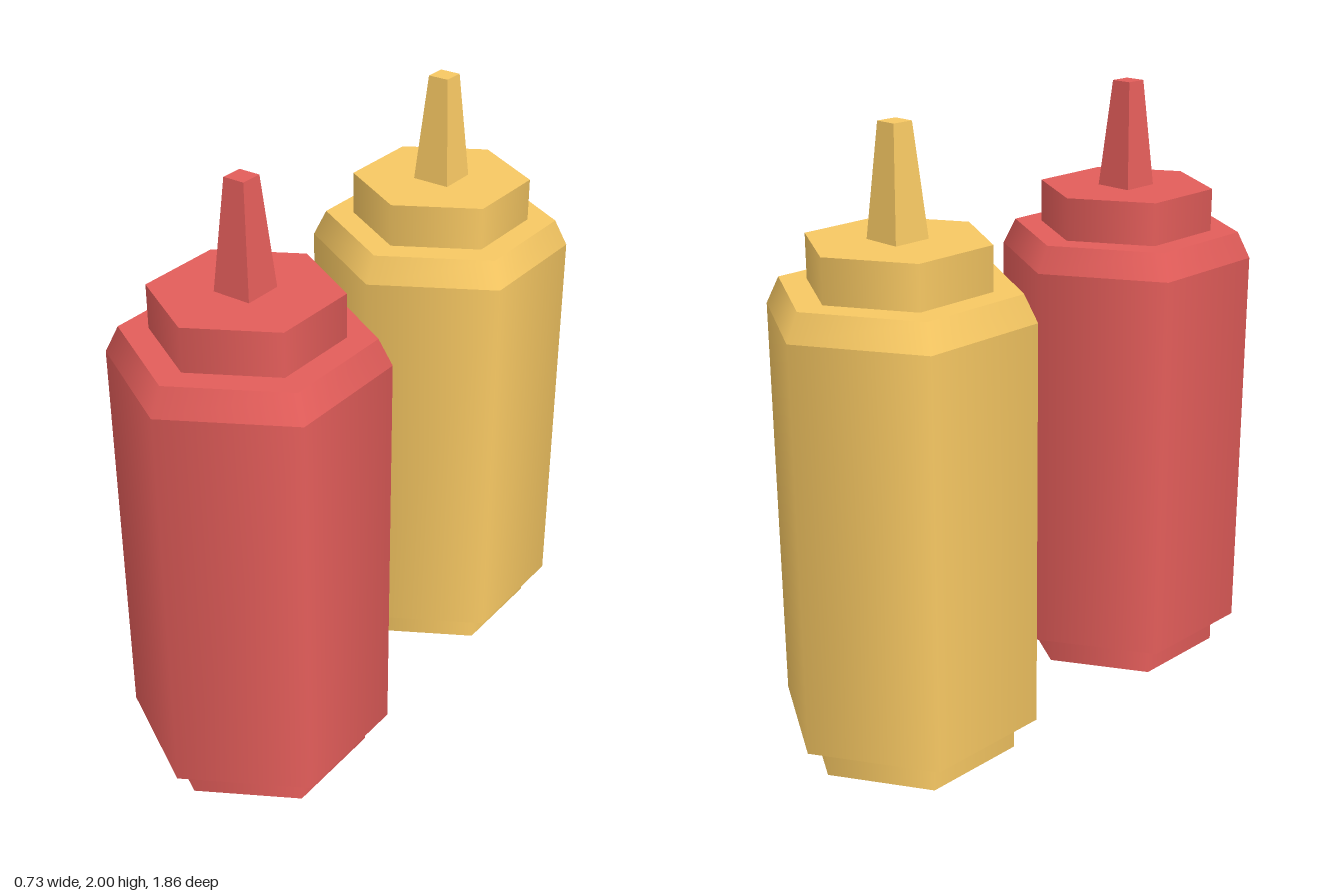
import * as THREE from 'three';

// Hexagonal section with a corner facing +z, smooth around and sharp at its rims
function hexSection(name, rBottom, rTop, y0, y1, material, openEnded = false) {
  const geometry = new THREE.CylinderGeometry(rTop, rBottom, y1 - y0, 6, 1, openEnded);
  geometry.translate(0, (y0 + y1) / 2, 0);
  const mesh = new THREE.Mesh(geometry, material);
  mesh.name = name;
  return mesh;
}

// Square tapered spout with flat sides
function makeNozzle(halfBottom, halfTop, y0, y1, material) {
  const geometry = new THREE.BoxGeometry(1, y1 - y0, 1);
  geometry.translate(0, (y0 + y1) / 2, 0);
  const pos = geometry.attributes.position;
  for (let i = 0; i < pos.count; i++) {
    const half = pos.getY(i) > (y0 + y1) / 2 ? halfTop : halfBottom;
    pos.setX(i, Math.sign(pos.getX(i)) * half);
    pos.setZ(i, Math.sign(pos.getZ(i)) * half);
  }
  geometry.computeVertexNormals();
  const mesh = new THREE.Mesh(geometry, material);
  mesh.name = 'nozzle';
  return mesh;
}

function makeBottle(name, color, z) {
  const material = new THREE.MeshStandardMaterial({ color });
  const bottle = new THREE.Group();
  bottle.name = name;
  bottle.add(
    hexSection('foot', 0.348, 0.348, 0, 0.11, material),
    hexSection('body', 0.422, 0.422, 0.11, 1.43, material),
    hexSection('shoulder', 0.422, 0.38, 1.43, 1.515, material),
    hexSection('cap', 0.289, 0.289, 1.515, 1.655, material),
    makeNozzle(0.064, 0.035, 1.655, 2, material),
  );
  bottle.position.z = z;
  return bottle;
}

export function createModel() {
  const model = new THREE.Group();
  model.name = 'sauceBottles';
  model.add(
    makeBottle('redBottle', 0xe35d5a, 0.508),
    makeBottle('yellowBottle', 0xf7c863, -0.508),
  );
  return model;
}
